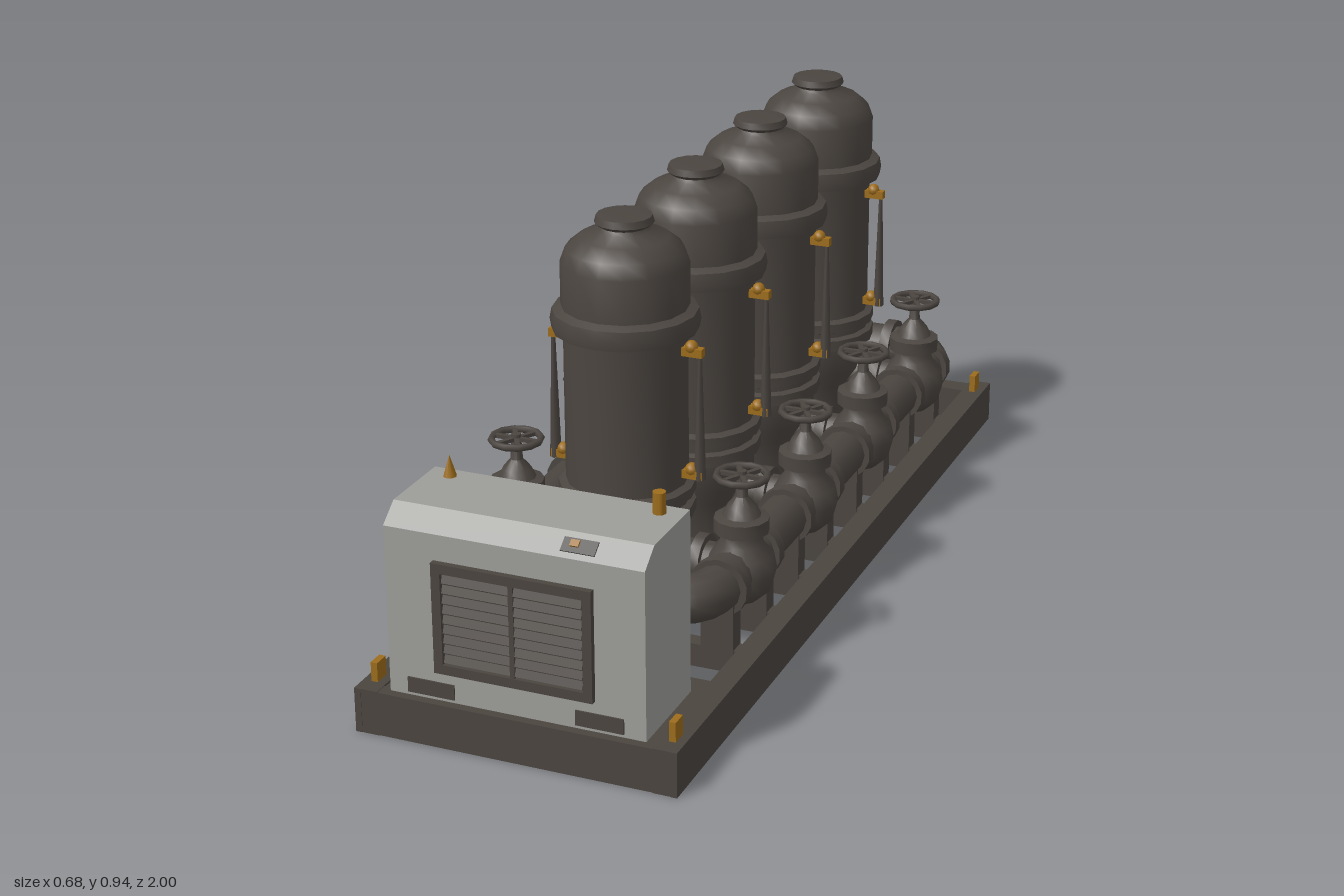
import * as THREE from 'three';
import { toCreasedNormals } from 'three/addons/utils/BufferGeometryUtils.js';

const paint = (name, color) => {
  const m = new THREE.MeshStandardMaterial({ color });
  m.name = name;
  return m;
};

export function createModel() {
  const iron = paint('dark iron', 0x4b4540);
  const grey = paint('cabinet grey', 0x9c9c99);
  const shade = paint('vent dark', 0x3a3632);
  const brass = paint('brass', 0x9c6c1c);
  const root = new THREE.Group();
  root.name = 'filterSkid';

  const add = (parent, name, geo, mat, x = 0, y = 0, z = 0) => {
    const m = new THREE.Mesh(geo, mat);
    m.name = name;
    m.position.set(x, y, z);
    parent.add(m);
    return m;
  };
  const box = (parent, name, mat, w, h, d, x, y, z) =>
    add(parent, name, new THREE.BoxGeometry(w, h, d), mat, x, y, z);
  const lathe = (pts, n = 12) => toCreasedNormals(
    new THREE.LatheGeometry(pts.map(([r, y]) => new THREE.Vector2(r, y)), n), 0.75);
  const disc = (r, h) => toCreasedNormals(new THREE.CylinderGeometry(r, r, h, 14), 0.75);
  const group = (name, x, y, z) => {
    const g = new THREE.Group();
    g.name = name;
    g.position.set(x, y, z);
    root.add(g);
    return g;
  };

  const tankZ = [0.45, 0.085, -0.285, -0.65];
  const supportZ = [0.55, 0.365, 0.18, 0, -0.19, -0.375, -0.56, -0.75];

  // Skid: channel rails with their open sides facing inwards
  const frame = group('skidFrame', 0, 0, 0);
  for (const s of [-1, 1]) {
    box(frame, 'railWeb', iron, 0.014, 0.095, 2, s * 0.333, 0.0475, 0);
    for (const y of [0.007, 0.088])
      box(frame, 'railFlange', iron, 0.05, 0.014, 1.998, s * 0.315, y, 0);
  }
  for (const z of [...supportZ, 0.72]) box(frame, 'crossBar', iron, 0.64, 0.05, 0.036, 0, 0.064, z);
  box(frame, 'centreBeam', iron, 0.04, 0.05, 1.9, 0, 0.058, 0);
  box(frame, 'rearBeam', iron, 0.65, 0.08, 0.05, 0, 0.05, -0.965);
  box(frame, 'frontBeam', iron, 0.66, 0.093, 0.03, 0, 0.0475, 0.984);
  box(frame, 'cabinetFloor', iron, 0.64, 0.03, 0.26, 0, 0.076, 0.86);
  for (const x of [-0.315, 0.315]) for (const z of [-0.945, 0.945]) {
    box(frame, 'liftingLug', brass, 0.014, 0.042, 0.035, x, 0.115, z);
  }

  // Closed header pipe running round all the tanks
  const r = 0.1, X = 0.245, zf = 0.645, zb = -0.845, py = 0.22;
  const v = (x, z) => new THREE.Vector3(x, py, z);
  const loop = new THREE.CurvePath();
  const line = (a, b) => loop.add(new THREE.LineCurve3(a, b));
  const bend = (a, c, b) => loop.add(new THREE.QuadraticBezierCurve3(a, c, b));
  line(v(X, 0), v(X, zb + r));
  bend(v(X, zb + r), v(X, zb), v(X - r, zb));
  line(v(X - r, zb), v(r - X, zb));
  bend(v(r - X, zb), v(-X, zb), v(-X, zb + r));
  line(v(-X, zb + r), v(-X, zf - r));
  bend(v(-X, zf - r), v(-X, zf), v(r - X, zf));
  line(v(r - X, zf), v(X - r, zf));
  bend(v(X - r, zf), v(X, zf), v(X, zf - r));
  line(v(X, zf - r), v(X, 0));
  const piping = group('piping', 0, 0, 0);
  add(piping, 'headerPipe', new THREE.TubeGeometry(loop, 120, 0.05, 12, true), iron);
  for (const s of [-1, 1]) {
    for (const z of supportZ) {
      add(piping, 'pipeFlange', disc(0.062, 0.028), iron, s * X, py, z).rotation.x = Math.PI / 2;
      box(piping, 'pipeSupport', iron, 0.07, 0.13, 0.04, s * X, 0.135, z);
    }
    for (const z of [zf, zb])
      add(piping, 'endFlange', disc(0.064, 0.024), iron, s * 0.13, py, z).rotation.z = Math.PI / 2;
  }

  // Filter tanks with domed lids, sight gauges and side branches
  const tankGeo = lathe([[0, 0.1], [0.1, 0.1], [0.1, 0.2], [0.125, 0.24], [0.125, 0.3], [0.14, 0.305],
    [0.14, 0.33], [0.128, 0.335], [0.128, 0.345], [0.14, 0.35], [0.14, 0.372], [0.125, 0.378],
    [0.125, 0.698], [0.148, 0.702], [0.151, 0.72], [0.147, 0.742], [0.129, 0.75], [0.129, 0.84],
    [0.118, 0.87], [0.09, 0.893], [0.055, 0.906], [0.05, 0.914], [0.06, 0.922], [0.056, 0.936],
    [0, 0.94]], 16);
  tankZ.forEach((z) => {
    const tank = group('filterTank', 0, 0, z);
    add(tank, 'tankShell', tankGeo, iron);
    for (const s of [-1, 1]) {
      add(tank, 'gaugeTube', new THREE.CylinderGeometry(0.004, 0.012, 0.27, 6), iron, s * 0.16, 0.53, 0);
      for (const y of [0.405, 0.668]) {
        box(tank, 'gaugeFitting', brass, 0.05, 0.018, 0.018, s * 0.142, y, 0);
        add(tank, 'gaugeNut', new THREE.SphereGeometry(0.014, 8, 6), brass, s * 0.142, y + 0.01, 0);
      }
      add(tank, 'sideBranch', disc(0.04, 0.14), iron, s * 0.15, py, 0).rotation.z = Math.PI / 2;
      add(tank, 'branchFlange', disc(0.055, 0.022), iron, s * 0.165, py, 0).rotation.z = Math.PI / 2;
    }
  });

  // Gate valves with handwheels, one on each side of every tank
  const valveGeo = lathe([[0, 0.145], [0.035, 0.15], [0.062, 0.175], [0.073, 0.215], [0.066, 0.25],
    [0.045, 0.275], [0.042, 0.295], [0.057, 0.3], [0.057, 0.33], [0.04, 0.335], [0.03, 0.355],
    [0.013, 0.375], [0.01, 0.43], [0, 0.432]], 12);
  for (const s of [-1, 1]) for (const z of tankZ) {
    const valve = group('gateValve', s * 0.25, 0, z);
    add(valve, 'valveBody', valveGeo, iron);
    add(valve, 'handwheel', new THREE.TorusGeometry(0.052, 0.0075, 6, 12), iron, 0, 0.419, 0)
      .rotation.x = Math.PI / 2;
    for (let i = 0; i < 3; i++)
      box(valve, 'wheelSpoke', iron, 0.104, 0.008, 0.01, 0, 0.419, 0).rotation.y = i * Math.PI / 3;
  }

  // Control cabinet with a sloping upper front edge
  const cabinet = group('controlCabinet', 0, 0, 0);
  const side = new THREE.Shape([[0.765, 0.094], [0.98, 0.094], [0.98, 0.445], [0.935, 0.48], [0.765, 0.48]]
    .map(([a, b]) => new THREE.Vector2(a, b)));
  const shell = new THREE.ExtrudeGeometry(side, { depth: 0.54, bevelEnabled: false });
  shell.translate(0, 0, -0.27).rotateY(-Math.PI / 2);
  add(cabinet, 'cabinetShell', shell, grey);

  // Louvred grille
  const rect = (path, x, y) => {
    path.moveTo(-x, -y).lineTo(x, -y).lineTo(x, y).lineTo(-x, y).closePath();
    return path;
  };
  const rim = rect(new THREE.Shape(), 0.166, 0.116);
  rim.holes.push(rect(new THREE.Path(), 0.147, 0.096));
  add(cabinet, 'grilleRim', new THREE.ExtrudeGeometry(rim, { depth: 0.014, bevelEnabled: false }),
    iron, 0, 0.275, 0.979);
  box(cabinet, 'grilleBack', shade, 0.3, 0.2, 0.004, 0, 0.275, 0.981);
  box(cabinet, 'grilleDivider', iron, 0.01, 0.194, 0.01, 0, 0.275, 0.987);
  for (let i = 0; i < 9; i++) for (const s of [-1, 1])
    box(cabinet, 'louvre', iron, 0.14, 0.017, 0.004, s * 0.075, 0.191 + i * 0.021, 0.987)
      .rotation.x = -0.35;

  // Thin dark plates and brass fittings on the cabinet
  for (const x of [-0.18, 0.175])
    box(cabinet, 'lowerPlate', iron, 0.1, 0.032, 0.004, x, 0.117, 0.981);
  box(cabinet, 'labelPlate', shade, 0.07, 0.03, 0.004, 0.13, 0.4625, 0.9585).rotation.x = -0.91;
  box(cabinet, 'indicator', brass, 0.018, 0.014, 0.008, 0.12, 0.466, 0.957).rotation.x = -0.91;
  add(cabinet, 'beaconCone', new THREE.ConeGeometry(0.014, 0.045, 8), brass, -0.222, 0.502, 0.795);
  add(cabinet, 'beaconLamp', disc(0.013, 0.044), brass, 0.222, 0.502, 0.8);

  return root;
}
